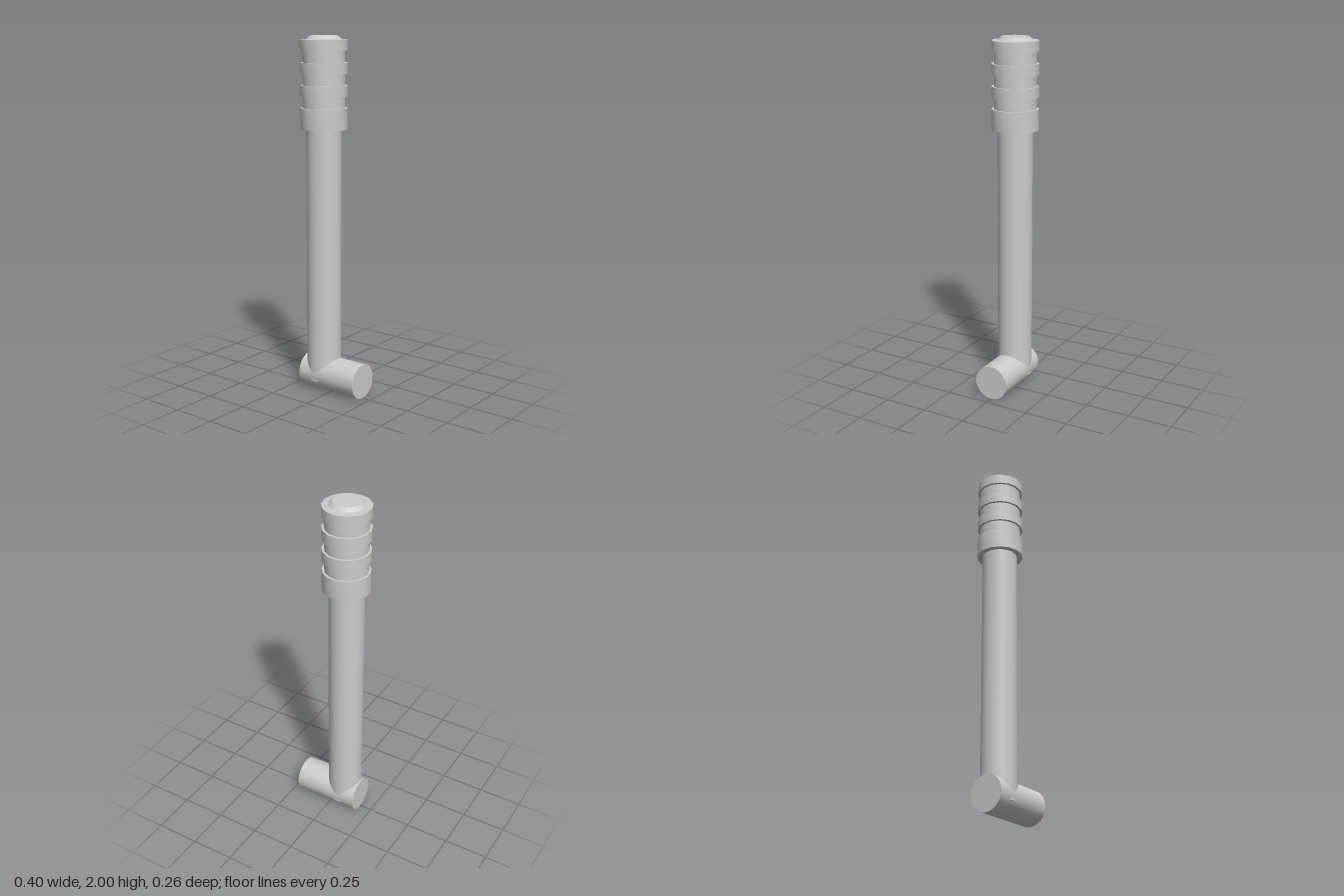
import * as THREE from 'three';
import { toCreasedNormals } from 'three/addons/utils/BufferGeometryUtils.js';

const AXIS_X = -0.07;

export function createModel() {
  const group = new THREE.Group();
  const material = new THREE.MeshStandardMaterial({ color: 0xcccccc });
  const add = (name, geometry, x, y) => {
    const mesh = new THREE.Mesh(geometry, material);
    mesh.name = name;
    mesh.position.set(x, y, 0);
    group.add(mesh);
    return mesh;
  };

  // Horizontal foot bar
  const bar = add('crossBar', new THREE.CylinderGeometry(0.098, 0.098, 0.378, 32), 0.011, 0.098);
  bar.rotation.z = Math.PI / 2;

  // Long upright shaft, sunk into the bar
  const bottom = 0.065, top = 1.52;
  add('shaft', new THREE.CylinderGeometry(0.097, 0.097, top - bottom, 30), AXIS_X - 0.002, (bottom + top) / 2);

  // Ribbed grip: wide rings separated by narrower necks, with a bevelled cap
  const ringR = 0.13, neckR = 0.117;
  const rings = [[1.499, 1.613], [1.677, 1.735], [1.798, 1.857], [1.923, 1.979]];
  const profile = [[0.08, 1.499]];
  rings.forEach(([y0, y1], i) => {
    if (i > 0) profile.push([neckR, y0]);
    profile.push([ringR, y0], [ringR, y1]);
    if (i < rings.length - 1) profile.push([neckR, y1]);
  });
  profile.push([0.096, 1.982], [0.076, 2], [0, 2]);
  const points = profile.map(([r, y]) => new THREE.Vector2(r, y));
  const grip = new THREE.LatheGeometry(points, 15, Math.PI / 2);
  add('grip', toCreasedNormals(grip, 0.5), AXIS_X, 0);

  return group;
}
